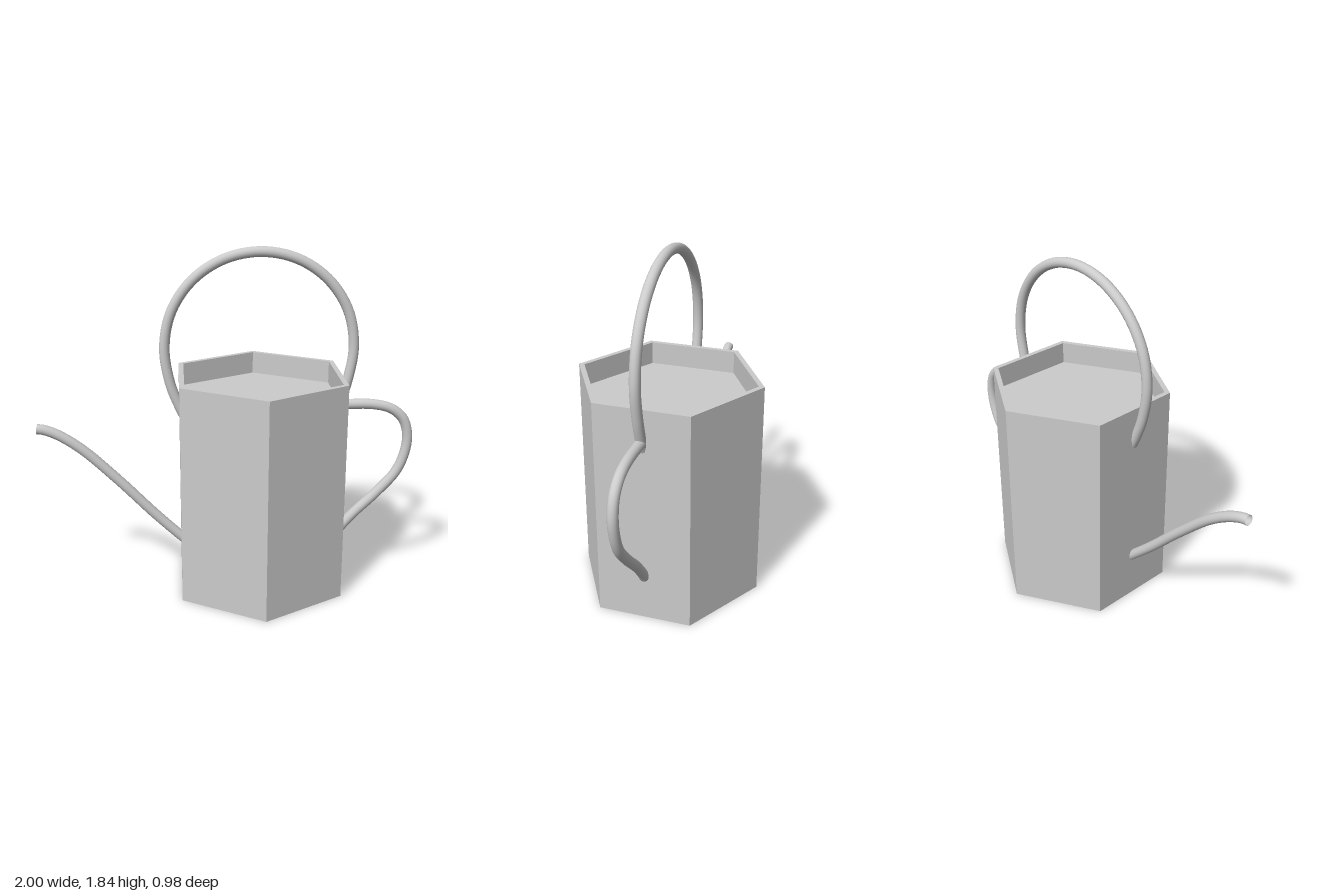
import * as THREE from 'three';

const CENTRE_X = 0.173;
const TUBE_RADIUS = 0.027;

// Smooth round tube through [x, y] points in the z = 0 plane
function tube(name, points, material) {
  const curve = new THREE.CatmullRomCurve3(points.map(([x, y]) => new THREE.Vector3(x, y, 0)), false, 'centripetal');
  const mesh = new THREE.Mesh(new THREE.TubeGeometry(curve, 72, TUBE_RADIUS, 16, false), material);
  mesh.name = name;
  return mesh;
}

export function createModel() {
  const group = new THREE.Group();
  group.name = 'wateringCan';
  const flat = new THREE.MeshStandardMaterial({ color: 0xcccccc, flatShading: true });
  const smooth = new THREE.MeshStandardMaterial({ color: 0xcccccc, side: THREE.DoubleSide });

  // Hexagonal body with a thin rim around a shallow recessed top
  const profile = [[0, 0], [0.49, 0], [0.49, 1.18], [0.46, 1.18], [0.46, 1.06], [0, 1.06]]
    .map(([r, y]) => new THREE.Vector2(r, y));
  const body = new THREE.Mesh(new THREE.LatheGeometry(profile, 6), flat);
  body.name = 'body';
  body.position.x = CENTRE_X;
  group.add(body);

  // Carrying hoop: most of a circle, with both feet bending in to the body
  const hoop = [[-0.23, 0.965], [-0.255, 1.02], [-0.298, 1.14]];
  for (let i = 0; i <= 8; i++) {
    const a = Math.PI * (1 - i / 8);
    hoop.push([0.168 + 0.491 * Math.cos(a), 1.325 + 0.488 * Math.sin(a)]);
  }
  hoop.push([0.636, 1.15], [0.598, 1.02], [0.578, 0.965]);
  group.add(tube('topHandle', hoop, smooth));

  // Side handle
  group.add(tube('sideHandle', [
    [0.57, 1.005], [0.66, 1.007], [0.78, 1.003], [0.875, 0.978], [0.942, 0.92], [0.97, 0.83],
    [0.962, 0.73], [0.92, 0.62], [0.82, 0.5], [0.69, 0.37], [0.61, 0.275], [0.585, 0.24],
  ], smooth));

  // Spout, open at the tip
  group.add(tube('spout', [
    [-1, 0.898], [-0.965, 0.893], [-0.89, 0.862], [-0.77, 0.78], [-0.58, 0.598], [-0.39, 0.398], [-0.26, 0.272], [-0.22, 0.235],
  ], smooth));

  return group;
}
